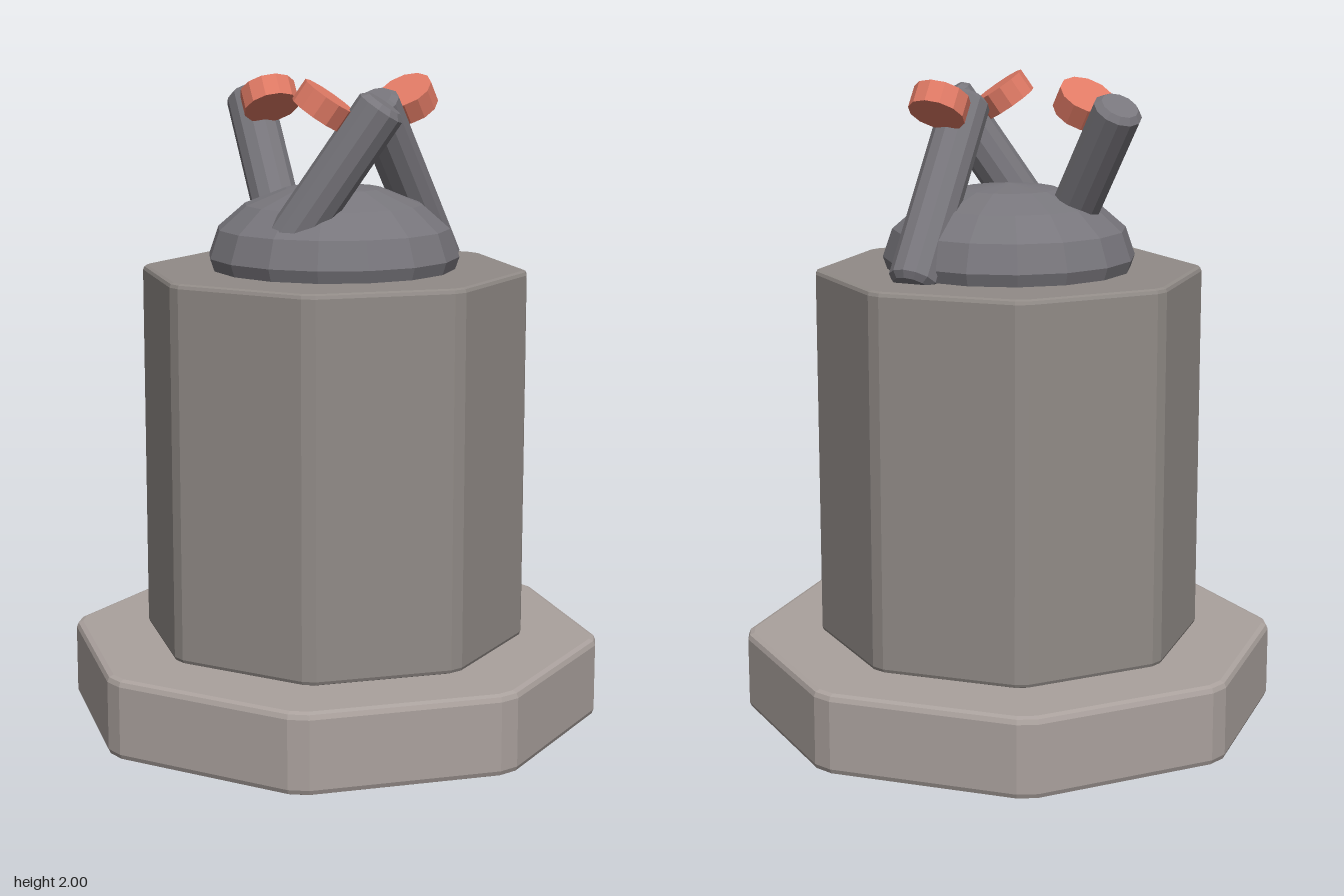
import * as THREE from 'three';

const paint = (color) => new THREE.MeshStandardMaterial({ color, flatShading: true });

// Octagonal block with chamfered upright edges and bevelled rims, from y0 to y1
function octagonBlock(name, radius, y0, y1, bevel, cut, material) {
  const inner = radius - bevel / Math.cos(Math.PI / 8);
  const corners = [];
  for (let i = 0; i < 8; i++) {
    const a = (i * Math.PI) / 4;
    corners.push(new THREE.Vector2(Math.cos(a) * inner, Math.sin(a) * inner));
  }
  const side = corners[0].distanceTo(corners[1]);
  const outline = [];
  corners.forEach((c, i) => {
    outline.push(c.clone().lerp(corners[(i + 7) % 8], cut / side));
    outline.push(c.clone().lerp(corners[(i + 1) % 8], cut / side));
  });
  const geometry = new THREE.ExtrudeGeometry(new THREE.Shape(outline), {
    depth: y1 - y0 - 2 * bevel,
    bevelEnabled: true,
    bevelThickness: bevel,
    bevelSize: bevel,
    bevelSegments: 2,
  });
  geometry.rotateX(-Math.PI / 2);
  geometry.translate(0, y0 + bevel, 0);
  const mesh = new THREE.Mesh(geometry, material);
  mesh.name = name;
  return mesh;
}

// Round bar, centred on its own axis, with chamfered ends
function chamferedBar(radius, length, chamfer, sides) {
  const h = length / 2;
  const profile = [
    [0, -h], [radius - chamfer, -h], [radius, -h + chamfer],
    [radius, h - chamfer], [radius - chamfer, h], [0, h],
  ].map(([x, y]) => new THREE.Vector2(x, y));
  return new THREE.LatheGeometry(profile, sides);
}

export function createModel() {
  const model = new THREE.Group();
  model.name = 'pedestal';

  const stoneLight = paint(0xaaa19d);
  const stone = paint(0x918b87);
  const metal = paint(0x78767c);
  const red = paint(0xe07a65);

  // Plinth and column
  model.add(octagonBlock('plinth', 0.845, 0, 0.25, 0.02, 0.03, stoneLight));
  model.add(octagonBlock('column', 0.605, 0.25, 1.41, 0.014, 0.02, stone));

  // Flattened dome
  const dome = new THREE.Mesh(new THREE.SphereGeometry(0.39, 16, 8), metal);
  dome.name = 'dome';
  dome.scale.y = 0.225 / 0.39;
  dome.position.y = 1.448;
  model.add(dome);

  // Three leaning tubes, each with a cap floating above its middle
  const tubeGeometry = chamferedBar(0.075, 0.64, 0.018, 12);
  const capGeometry = new THREE.CylinderGeometry(0.0875, 0.0875, 0.07, 12);
  const lean = 0.6;
  for (let i = 0; i < 3; i++) {
    const a = (i * Math.PI * 2) / 3;
    const unit = new THREE.Group();
    unit.name = 'tubeUnit' + (i + 1);
    unit.position.set(Math.sin(a) * 0.25, 0, Math.cos(a) * 0.25);
    unit.rotation.y = -a;

    const tube = new THREE.Mesh(tubeGeometry, metal);
    tube.name = 'tube';
    tube.position.y = 1.665;
    tube.rotation.z = -lean;

    const cap = new THREE.Mesh(capGeometry, red);
    cap.name = 'cap';
    cap.position.y = 1.921;
    cap.rotation.z = -lean;

    unit.add(tube, cap);
    model.add(unit);
  }

  return model;
}
